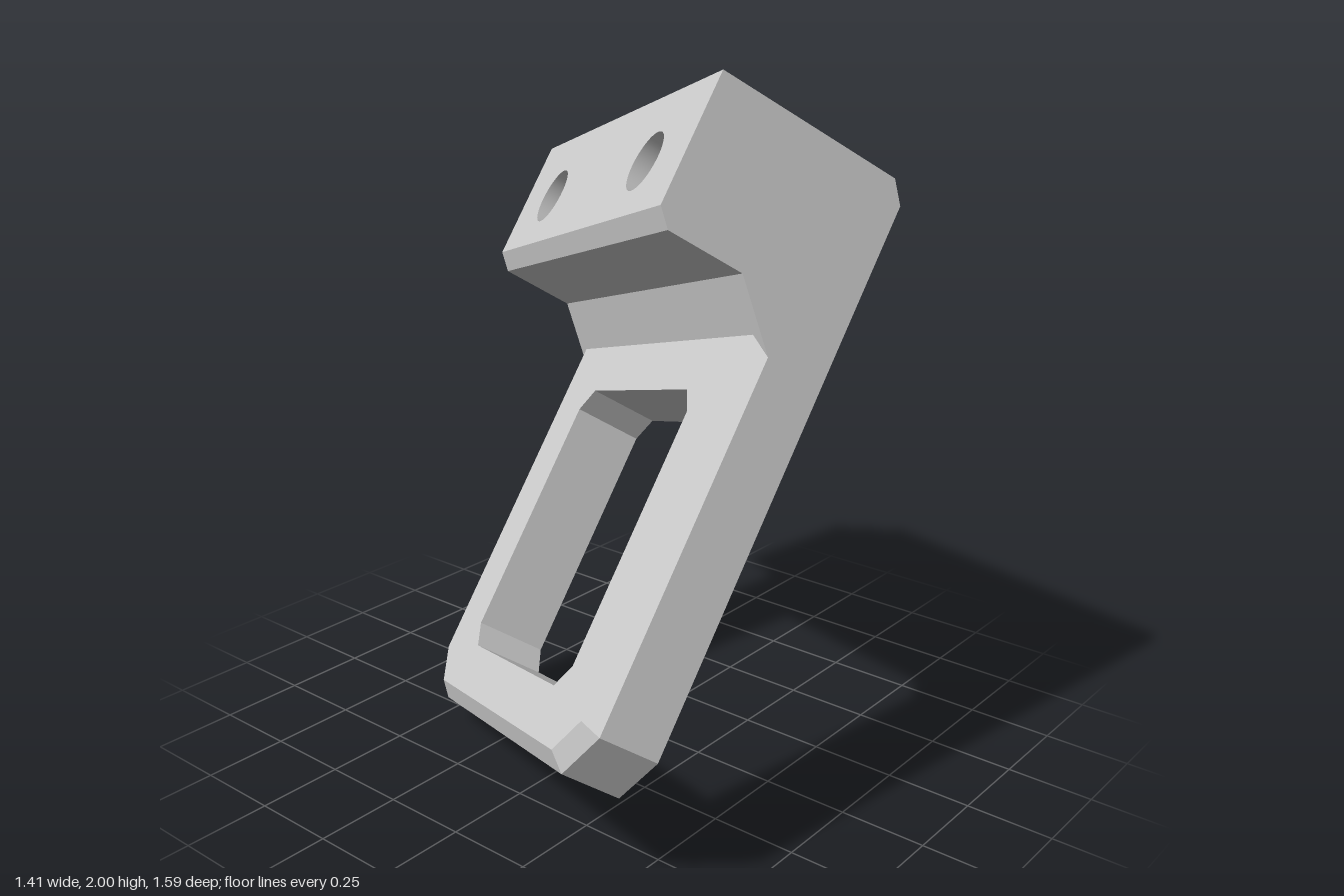
import * as THREE from 'three';
import { mergeGeometries } from 'three/addons/utils/BufferGeometryUtils.js';

const P = (x, y, z) => new THREE.Vector3(x, y, z);

// Flat polygon, corners counter-clockwise seen from outside, with optional holes
function panel(points, holes = []) {
  const normal = P(0, 0, 0);
  points.forEach((p, i) => normal.add(p.clone().cross(points[(i + 1) % points.length])));
  normal.normalize();
  const ex = points[1].clone().sub(points[0]).normalize();
  const ey = normal.clone().cross(ex);
  const flat = (list) => list.map((p) => {
    const d = p.clone().sub(points[0]);
    return new THREE.Vector2(d.dot(ex), d.dot(ey));
  });
  const shape = new THREE.Shape(flat(points));
  holes.forEach((h) => shape.holes.push(new THREE.Path(flat(h))));
  const frame = new THREE.Matrix4().makeBasis(ex, ey, normal).setPosition(points[0]);
  return new THREE.ShapeGeometry(shape).applyMatrix4(frame);
}

// Row of quads between two matching paths
function strip(a, b, closed = false) {
  const quads = [];
  for (let i = 0; i < a.length - (closed ? 0 : 1); i++) {
    const j = (i + 1) % a.length;
    quads.push(panel([a[i], b[i], b[j], a[j]]));
  }
  return quads;
}

export function createModel() {
  const W = 0.637;                        // half width
  const back = -0.585, plateFront = -0.375, c = 0.043;
  const edge = plateFront - c;            // depth where the plate chamfer starts
  const under = -0.42, bend = -0.265;     // underside of the block, start of the gusset
  const gussetEnd = under - (bend - edge);
  const bottom = -1.70, cut = 0.12;
  const boltX = 0.363, boltY = -0.21, boltR = 0.087, sides = 48;

  const at = (pts, z) => pts.map(([x, y]) => P(x, y, z));

  // Plate outline, right side down and round to the left, at a given inset
  const outline = (top, inset) => {
    const k = inset * Math.tan(Math.PI / 8), w = W - inset;
    const half = [[w, top], [w, bottom + cut + k], [W - cut - k, bottom + inset]];
    return [...half, ...half.map(([x, y]) => [-x, y]).reverse()];
  };

  // Window with cut corners, counter-clockwise
  const wx = 0.403, w0 = -1.518, w1 = -0.68, wc = 0.063;
  const windowPts = [
    [wx, w0 + wc], [wx, w1 - wc], [wx - wc, w1], [wc - wx, w1],
    [-wx, w1 - wc], [-wx, w0 + wc], [wc - wx, w0], [wx - wc, w0],
  ];
  const bolt = (s, z) => Array.from({ length: sides }, (_, i) => {
    const t = (i / sides) * Math.PI * 2;
    return P(s * boltX + boltR * Math.cos(t), boltY + boltR * Math.sin(t), z);
  });
  const bolts = (z) => [bolt(-1, z), bolt(1, z)];

  // Side profile as [y, z]
  const profile = [
    [-0.056, back], [0, -0.54], [0, 0], [-0.375, 0], [under, -c],
    [under, bend], [gussetEnd, edge], [bottom + cut, edge], [bottom + cut, back],
  ];
  const side = (x) => profile.map(([y, z]) => P(x, y, z));
  const R = side(W), L = side(-W);

  const outer = outline(gussetEnd, 0), inner = outline(gussetEnd + c, c);
  const rim = at(outer, edge), face = at(inner, plateFront);

  const parts = [
    // side walls
    panel(R), panel([...L].reverse()),
    // back chamfer and top, then front chamfer and underside of the block
    ...strip(R.slice(0, 3), L.slice(0, 3)),
    ...strip(R.slice(3, 6), L.slice(3, 6)),
    // block front with bolt holes
    panel([R[3], R[2], L[2], L[3]], bolts(0)),
    // gusset between block and plate
    panel([L[5], rim[5], face[5], face[0], rim[0], R[5]]),
    // plate front, chamfered rim and bottom walls
    panel([...face].reverse(), [at(windowPts, plateFront)]),
    ...strip(rim, face),
    ...strip(at(outer, back).slice(1, 5), rim.slice(1, 5)),
    // flat back
    panel(at(outline(-0.056, 0), back), [at(windowPts, back), ...bolts(back)]),
    // window walls
    ...strip(at(windowPts, back), at(windowPts, plateFront), true),
  ];

  const material = new THREE.MeshStandardMaterial({ color: 0xcccccc });
  const bracket = new THREE.Group();
  bracket.name = 'bracket';
  const body = new THREE.Mesh(mergeGeometries(parts), material);
  body.name = 'bracketBody';
  bracket.add(body);

  // Smooth bolt hole walls
  const boreMaterial = new THREE.MeshStandardMaterial({ color: 0xcccccc, side: THREE.DoubleSide });
  for (const s of [-1, 1]) {
    const bore = new THREE.Mesh(
      new THREE.CylinderGeometry(boltR, boltR, -back, sides, 1, true).rotateX(Math.PI / 2),
      boreMaterial,
    );
    bore.position.set(s * boltX, boltY, back / 2);
    bore.name = s > 0 ? 'leftBoltHole' : 'rightBoltHole';
    bracket.add(bore);
  }

  // Tilt the whole bracket
  const u = P(0.855, 0.275, 0.44).normalize();
  const v = P(0.039, 0.807, -0.59);
  v.addScaledVector(u, -v.dot(u)).normalize();
  const n = u.clone().cross(v);
  bracket.quaternion.setFromRotationMatrix(new THREE.Matrix4().makeBasis(u, v, n));
  bracket.position.set(-0.145, 1.825, -0.14);

  const model = new THREE.Group();
  model.name = 'tiltedBracket';
  model.add(bracket);
  return model;
}
